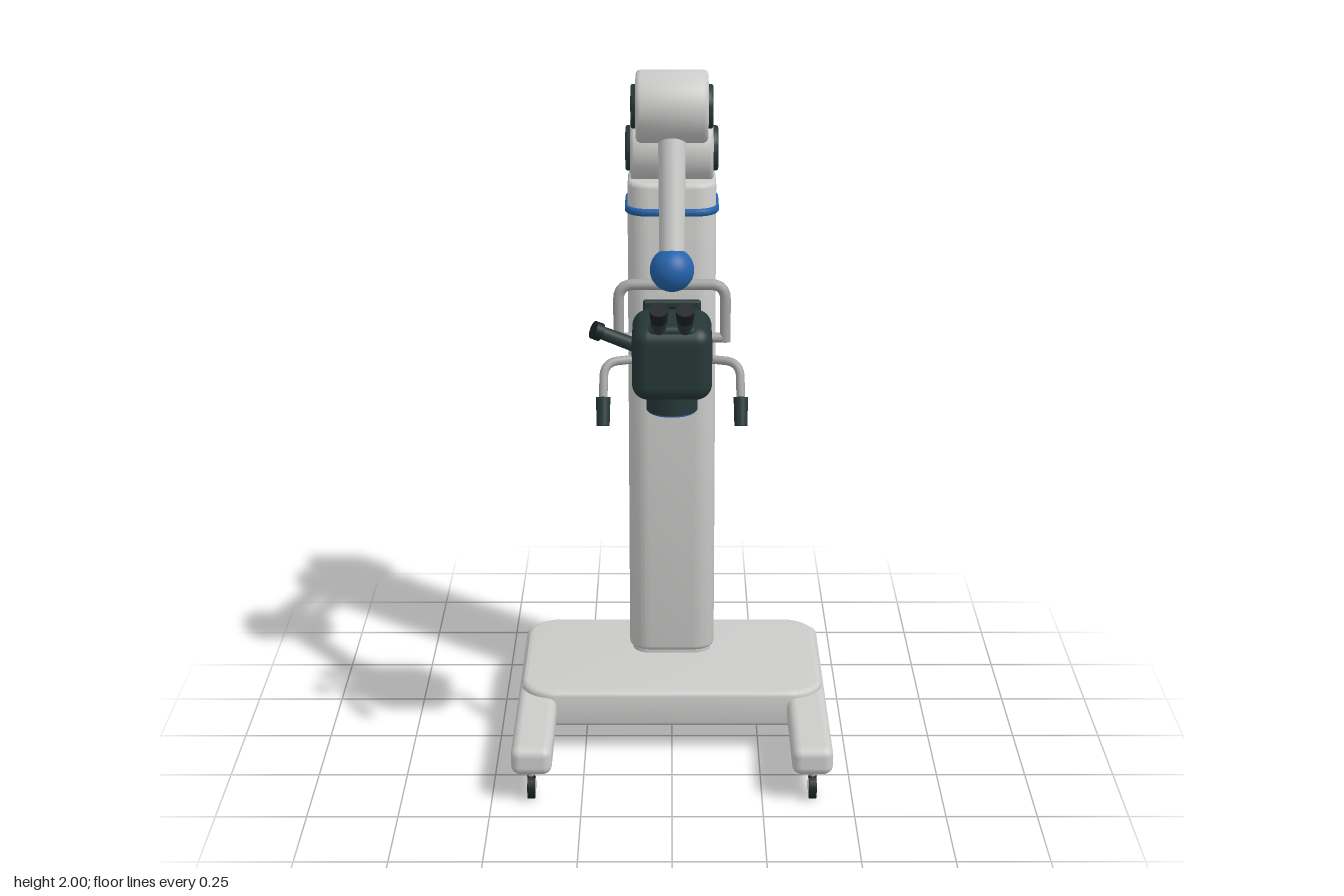
import * as THREE from 'three';
import { toCreasedNormals } from 'three/addons/utils/BufferGeometryUtils.js';
import { RoundedBoxGeometry } from 'three/addons/geometries/RoundedBoxGeometry.js';

const material = (name, color) => Object.assign(new THREE.MeshStandardMaterial({ color }), { name });
const V = (x, y, z) => new THREE.Vector3(x, y, z);

export function createModel() {
  const model = new THREE.Group();
  model.name = 'standMicroscope';
  const shell = material('paleGreyShell', 0xcbccca);
  const dark = material('darkHousing', 0x263737);
  const blue = material('blueAccent', 0x2463ab);
  const steel = material('brushedSteel', 0xa3a5a4);
  const rubber = material('blackRubber', 0x1b2222);
  const glass = material('lensGlass', 0x7f8c92);

  const add = (name, geometry, mat, x = 0, y = 0, z = 0, parent = model) => {
    const mesh = new THREE.Mesh(geometry, mat);
    mesh.name = name;
    mesh.position.set(x, y, z);
    parent.add(mesh);
    return mesh;
  };

  // Upright slab with rounded plan corners and softened top and bottom edges
  const slab = (w, d, h, r, bevel) => {
    const a = w / 2 - bevel, b = d / 2 - bevel, q = r - bevel;
    const s = new THREE.Shape();
    s.moveTo(-a + q, -b);
    s.lineTo(a - q, -b);
    s.absarc(a - q, -b + q, q, -Math.PI / 2, 0);
    s.lineTo(a, b - q);
    s.absarc(a - q, b - q, q, 0, Math.PI / 2);
    s.lineTo(-a + q, b);
    s.absarc(-a + q, b - q, q, Math.PI / 2, Math.PI);
    s.lineTo(-a, -b + q);
    s.absarc(-a + q, -b + q, q, Math.PI, Math.PI * 1.5);
    const g = new THREE.ExtrudeGeometry(s, {
      depth: h - 2 * bevel, bevelSize: bevel, bevelThickness: bevel, bevelSegments: 3, curveSegments: 8,
    });
    g.translate(0, 0, bevel);
    g.rotateX(-Math.PI / 2);
    return toCreasedNormals(g, 0.6);
  };

  // Cylinder from one point to another
  const rod = (name, from, to, r0, r1, mat, parent = model) => {
    const dir = to.clone().sub(from);
    const mesh = add(name, new THREE.CylinderGeometry(r1, r0, dir.length(), 28), mat, 0, 0, 0, parent);
    mesh.position.copy(from).add(to).multiplyScalar(0.5);
    mesh.quaternion.setFromUnitVectors(V(0, 1, 0), dir.normalize());
    return mesh;
  };

  // Drum lying along x with rounded rims
  const drum = (name, r, half, mat, y, z, edge = 0.012) => {
    const pts = [[0, -half], [r - edge, -half], [r - edge * 0.3, -half + edge * 0.3], [r, -half + edge],
      [r, half - edge], [r - edge * 0.3, half - edge * 0.3], [r - edge, half], [0, half]];
    const g = new THREE.LatheGeometry(pts.map(p => new THREE.Vector2(...p)), 40);
    g.rotateZ(Math.PI / 2);
    return add(name, toCreasedNormals(g, 0.9), mat, 0, y, z);
  };

  const tube = (name, points, r, mat, parent = model) => {
    const path = new THREE.CurvePath();
    // Straight runs joined by rounded bends
    let start = points[0];
    for (let i = 1; i < points.length - 1; i++) {
      const p = points[i], next = points[i + 1];
      const cut = Math.min(0.04, p.distanceTo(points[i - 1]) * 0.45, p.distanceTo(next) * 0.45);
      const before = p.clone().add(points[i - 1].clone().sub(p).setLength(cut));
      const after = p.clone().add(next.clone().sub(p).setLength(cut));
      path.add(new THREE.LineCurve3(start, before));
      path.add(new THREE.QuadraticBezierCurve3(before, p, after));
      start = after;
    }
    path.add(new THREE.LineCurve3(start, points[points.length - 1]));
    return add(name, new THREE.TubeGeometry(path, 48, r, 14), mat, 0, 0, 0, parent);
  };

  // Base, legs and casters
  add('baseSlab', slab(0.87, 0.54, 0.108, 0.1, 0.014), shell, 0, 0.077, -0.17);
  for (const side of [-1, 1]) {
    add('baseLeg', new RoundedBoxGeometry(0.113, 0.082, 0.87, 4, 0.026), shell, side * 0.388, 0.125, -0.005);
    for (const z of [0.385, -0.395]) {
      const caster = new THREE.Group();
      caster.name = 'caster';
      caster.position.set(side * 0.39, 0, z);
      model.add(caster);
      add('casterTyre', new THREE.CylinderGeometry(0.036, 0.036, 0.02, 24).rotateZ(Math.PI / 2), rubber, 0, 0.036, 0, caster);
      add('casterHub', new THREE.CylinderGeometry(0.021, 0.021, 0.024, 20).rotateZ(Math.PI / 2), steel, 0, 0.036, 0, caster);
      add('casterStem', new THREE.CylinderGeometry(0.012, 0.012, 0.03, 16), steel, 0, 0.078, 0, caster);
    }
  }

  // Column with blue band and front control panel
  add('columnFoot', slab(0.23, 0.23, 0.03, 0.05, 0.004), shell, 0, 0.175, -0.295);
  add('column', slab(0.25, 0.25, 1.418, 0.06, 0.014), shell, 0, 0.195, -0.295);
  add('columnBand', slab(0.266, 0.266, 0.022, 0.068, 0.008), blue, 0, 1.521, -0.295);
  add('controlPanel', new RoundedBoxGeometry(0.165, 0.125, 0.022, 3, 0.008), dark, 0, 1.217, -0.168);
  add('panelScreen', new THREE.BoxGeometry(0.125, 0.055, 0.004), rubber, 0, 1.235, -0.157);
  add('panelLight', new THREE.BoxGeometry(0.05, 0.006, 0.004), steel, 0, 1.182, -0.157);

  // Shoulder, elbow and counterweight housing
  drum('shoulderDrum', 0.097, 0.117, shell, 1.69, -0.295);
  drum('shoulderCaps', 0.064, 0.131, dark, 1.69, -0.295, 0.006);
  drum('elbowDrum', 0.095, 0.095, shell, 1.905, 0.19);
  drum('elbowCaps', 0.058, 0.108, dark, 1.905, 0.19, 0.006);
  add('motorHousing', new RoundedBoxGeometry(0.19, 0.205, 0.113, 5, 0.026), dark, 0, 1.697, -0.424);

  // Twin parallel bars, forearm and ball joint
  for (const [offset, r] of [[0.058, 0.034], [-0.05, 0.026]]) {
    const dy = offset * 0.914, dz = -offset * 0.405;
    rod('parallelBar', V(0, 1.69 + dy, -0.295 + dz), V(0, 1.905 + dy, 0.19 + dz), r, r, shell);
  }
  rod('forearm', V(0, 1.905, 0.19), V(0, 1.5, 0.323), 0.037, 0.033, shell);
  add('ballJoint', new THREE.SphereGeometry(0.058, 36, 24), blue, 0, 1.5, 0.323);

  // Yoke that carries the optics head
  tube('yoke', [V(-0.14, 1.305, 0.323), V(-0.14, 1.46, 0.323), V(0.14, 1.46, 0.323), V(0.14, 1.305, 0.323)], 0.0145, steel);
  for (const side of [-1, 1])
    rod('yokePivot', V(side * 0.09, 1.315, 0.323), V(side * 0.146, 1.315, 0.323), 0.013, 0.013, steel);

  // Optics head with objective lens
  const head = new THREE.Group();
  head.name = 'opticsHead';
  model.add(head);
  add('headBody', new RoundedBoxGeometry(0.21, 0.2, 0.23, 6, 0.042), dark, 0, 1.27, 0.325, head);
  add('lensCollar', new THREE.CylinderGeometry(0.08, 0.08, 0.03, 36), dark, 0, 1.172, 0.323, head);
  add('lensBarrel', new THREE.CylinderGeometry(0.068, 0.068, 0.05, 36), dark, 0, 1.144, 0.323, head);
  add('lensRing', new THREE.CylinderGeometry(0.064, 0.064, 0.008, 36), blue, 0, 1.118, 0.323, head);
  add('lensFace', new THREE.CylinderGeometry(0.055, 0.055, 0.006, 36), glass, 0, 1.115, 0.323, head);
  add('frontMarker', new THREE.BoxGeometry(0.05, 0.01, 0.03), blue, 0, 1.194, 0.416, head);
  add('binocularMount', new RoundedBoxGeometry(0.125, 0.06, 0.07, 4, 0.015), dark, 0, 1.345, 0.395, head);

  // Twin eyepieces
  for (const x of [-0.034, 0.034]) {
    rod('eyepiece', V(x, 1.33, 0.392), V(x, 1.415, 0.447), 0.02, 0.02, dark, head);
    rod('eyecup', V(x, 1.395, 0.434), V(x, 1.43, 0.456), 0.022, 0.025, rubber, head);
  }

  // Assistant viewer on one side
  rod('sideViewer', V(-0.085, 1.298, 0.35), V(-0.19, 1.349, 0.382), 0.019, 0.017, dark, head);
  rod('sideEyecup', V(-0.186, 1.347, 0.381), V(-0.205, 1.356, 0.387), 0.024, 0.024, rubber, head);

  // Bent handles with grips
  for (const side of [-1, 1]) {
    tube('handle', [V(side * 0.09, 1.265, 0.35), V(side * 0.178, 1.265, 0.38), V(side * 0.18, 1.165, 0.42)], 0.0115, steel, head);
    rod('handleGrip', V(side * 0.18, 1.18, 0.414), V(side * 0.18, 1.11, 0.441), 0.019, 0.017, dark, head);
  }
  return model;
}
